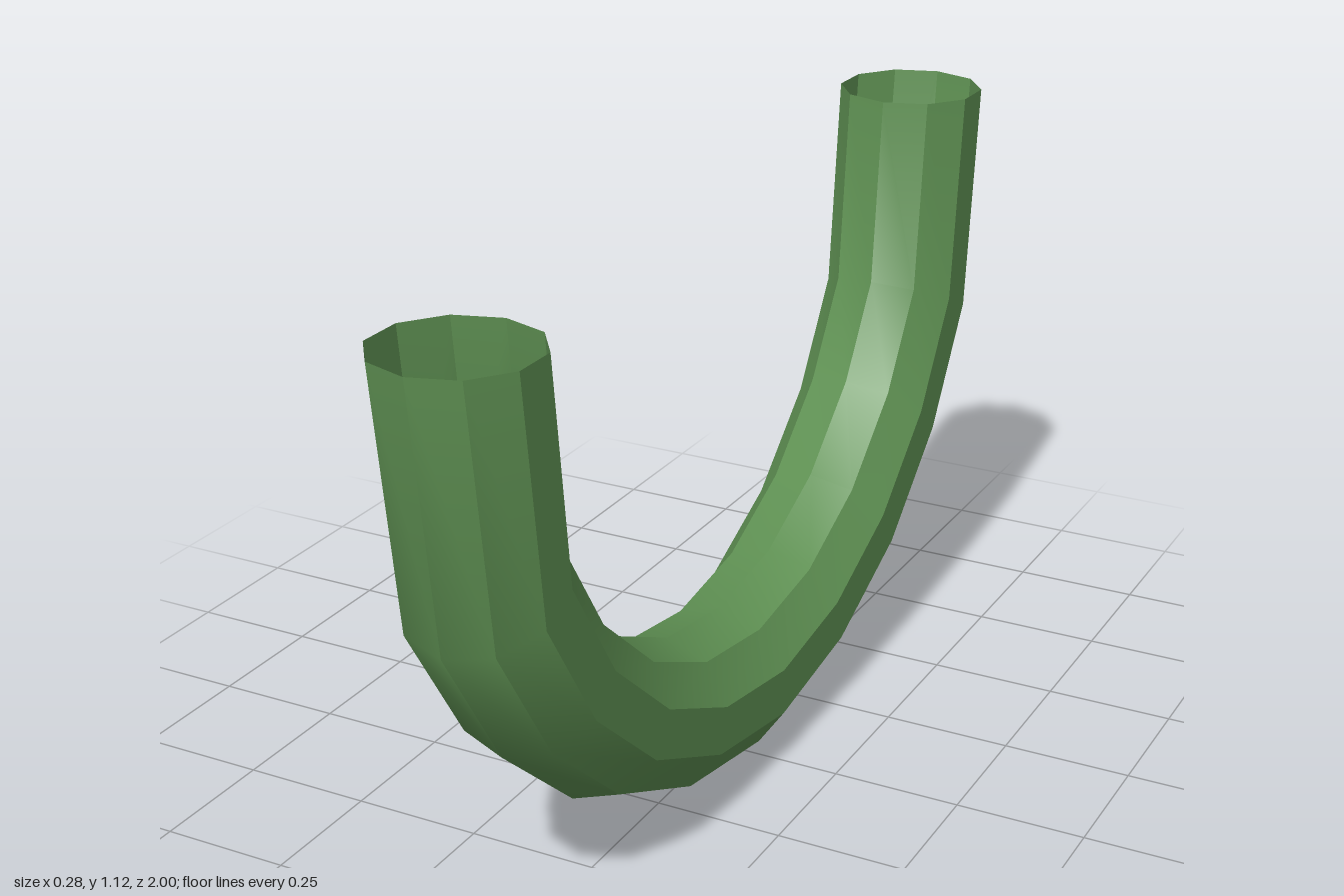
import * as THREE from 'three';
import { toCreasedNormals } from 'three/addons/utils/BufferGeometryUtils.js';

const SIDES = 10;
const HALF_WIDTH = 0.145;

// Mitred joints from the lowest point up to one rim: outer z, outer y, inner z, inner y
const HALF = [
  [0, 0, 0, 0.3],
  [0.29, 0.05, 0.21, 0.33],
  [0.56, 0.175, 0.4, 0.42],
  [0.78, 0.37, 0.565, 0.565],
  [0.94, 0.625, 0.68, 0.745],
  [1, 1.115, 0.717, 1.115],
];

// Ten-sided open pipe swept through the joints
function pipeGeometry(joints) {
  const positions = [];
  const index = [];
  joints.forEach(([oz, oy, iz, iy], i) => {
    for (let j = 0; j < SIDES; j++) {
      const a = (j / SIDES) * Math.PI * 2;
      const t = (1 - Math.cos(a)) / 2; // 0 on the outside of the bend, 1 on the inside
      positions.push(HALF_WIDTH * Math.sin(a), oy + (iy - oy) * t, oz + (iz - oz) * t);
      if (i === joints.length - 1) continue;
      const p = i * SIDES + j;
      const q = i * SIDES + ((j + 1) % SIDES);
      index.push(p, q, p + SIDES, q, q + SIDES, p + SIDES);
    }
  });
  const geometry = new THREE.BufferGeometry();
  geometry.setAttribute('position', new THREE.Float32BufferAttribute(positions, 3));
  geometry.setIndex(index);
  // Smooth along the bend, sharp between the long facets
  return toCreasedNormals(geometry, THREE.MathUtils.degToRad(30));
}

export function createModel() {
  const model = new THREE.Group();
  model.name = 'curvedPipe';

  // Mirror the half profile front to back
  const back = HALF.slice(1).reverse().map(([oz, oy, iz, iy]) => [-oz, oy, -iz, iy]);
  const material = new THREE.MeshStandardMaterial({ color: 0x5f9153, side: THREE.DoubleSide });
  const pipe = new THREE.Mesh(pipeGeometry([...back, ...HALF]), material);
  pipe.name = 'pipeBend';
  model.add(pipe);

  return model;
}
